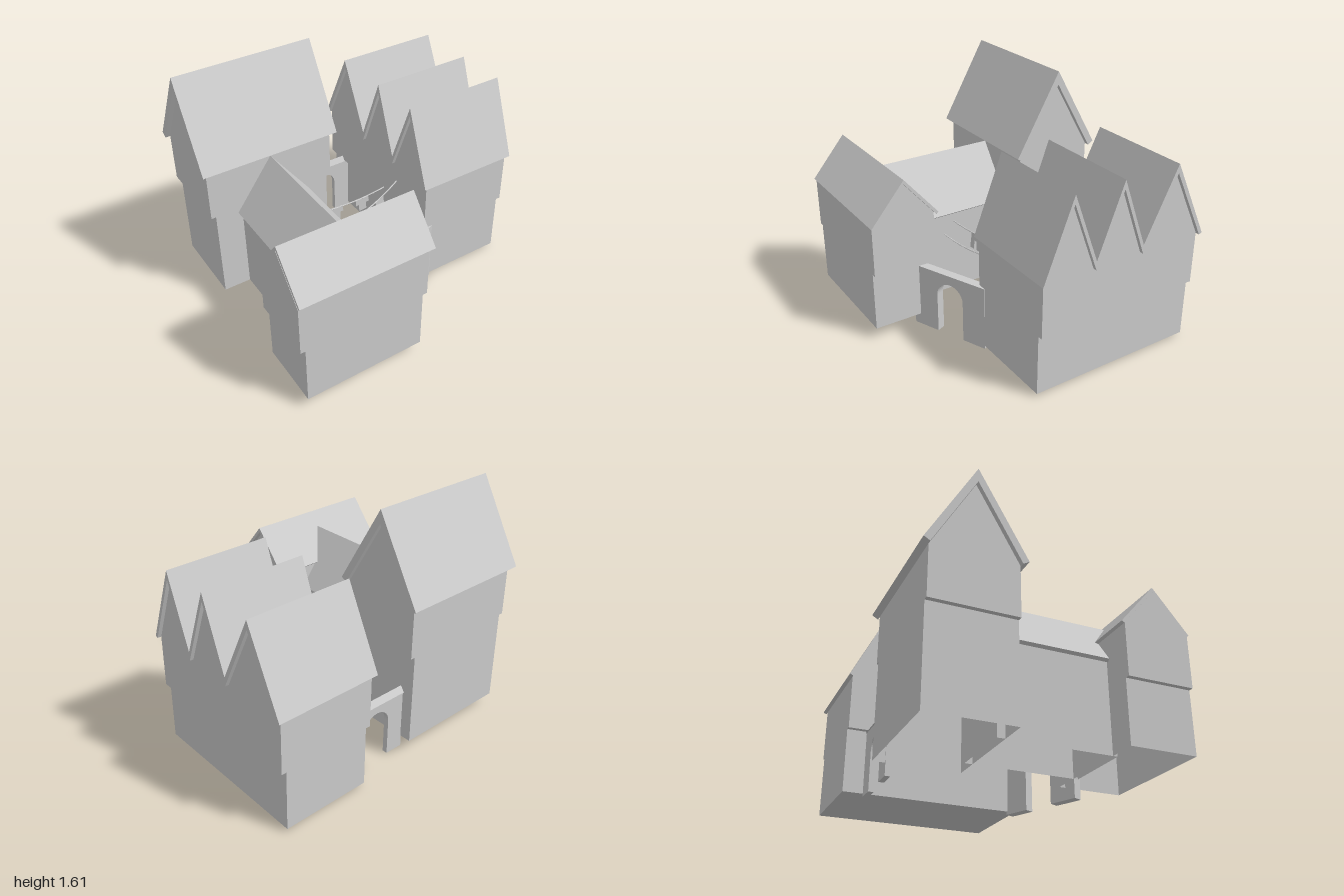
import * as THREE from 'three';

const grey = new THREE.MeshStandardMaterial({ color: 0xcccccc, flatShading: true, side: THREE.DoubleSide });

function add(parent, name, geometry) {
  const mesh = new THREE.Mesh(geometry, grey);
  mesh.name = name;
  parent.add(mesh);
  return mesh;
}

const toShape = (pts) => new THREE.Shape(pts.map(([a, b]) => new THREE.Vector2(a, b)));
const extrude = (shape, depth) => new THREE.ExtrudeGeometry(shape, { depth, bevelEnabled: false, curveSegments: 12 });

// Section given as [z, y], extruded from x0 to x1
function prismX(pts, x0, x1) {
  return extrude(toShape(pts.map(([z, y]) => [-z, y])), x1 - x0).rotateY(Math.PI / 2).translate(x0, 0, 0);
}

// Section given as [x, y], extruded from z0 to z1
function prismZ(pts, z0, z1) {
  return extrude(toShape(pts), z1 - z0).translate(0, 0, z0);
}

// Four walls with no floor
function openWalls(x0, x1, y0, y1, z0, z1) {
  return new THREE.CylinderGeometry(Math.SQRT1_2, Math.SQRT1_2, 1, 4, 1, true)
    .rotateY(Math.PI / 4)
    .scale(x1 - x0, y1 - y0, z1 - z0)
    .translate((x0 + x1) / 2, (y0 + y1) / 2, (z0 + z1) / 2);
}

// Bent slab over a ridge at (c, peak), with eaves cut square to the slope
function gableSection(c, half, eave, peak, t) {
  const angle = Math.atan2(peak - eave, half);
  const dx = t * Math.sin(angle), dy = t * Math.cos(angle);
  return [
    [c - half, eave], [c, peak], [c + half, eave],
    [c + half - dx, eave - dy], [c, peak - t / Math.cos(angle)], [c - half + dx, eave - dy],
  ];
}

// House with its ridge along x and an upper floor that juts out at both ends
function gableHouse(name, o) {
  const g = new THREE.Group();
  g.name = name;
  const [z0, z1] = o.z, c = o.ridge;
  add(g, 'lowerWalls', openWalls(-0.935, -0.115, 0.08, o.jetty, z0, z1));
  const slope = (o.peak - o.eave) / o.half;
  const inner = o.peak - o.t * Math.hypot(1, slope);
  const wallTop = (z) => inner - Math.abs(z - c) * slope;
  add(g, 'upperFloor', prismX(
    [[z0, o.jetty], [z1, o.jetty], [z1, wallTop(z1)], [c, inner], [z0, wallTop(z0)]], -0.967, -0.083));
  add(g, 'roof', prismX(gableSection(c, o.half, o.eave, o.peak, o.t), o.roofX, -0.05));
  return g;
}

// Wall of given length and height with a round-headed opening through it
function archGeometry(length, height, thick, w, top, offset) {
  const h = length / 2, r = w / 2;
  const s = new THREE.Shape();
  s.moveTo(-h, 0);
  s.lineTo(offset - r, 0);
  s.lineTo(offset - r, top - r);
  s.absarc(offset, top - r, r, Math.PI, 0, true);
  s.lineTo(offset + r, 0);
  s.lineTo(h, 0);
  s.lineTo(h, height);
  s.lineTo(-h, height);
  return extrude(s, thick).translate(0, 0, -thick / 2);
}

const trousers = [[-0.04, 0], [0.04, 0], [0.045, -0.12], [0.012, -0.12], [0.01, -0.055],
  [-0.01, -0.055], [-0.012, -0.12], [-0.045, -0.12]];
const shirt = [[-0.05, 0], [0.05, 0], [0.055, -0.045], [0.03, -0.045], [0.03, -0.1],
  [-0.03, -0.1], [-0.03, -0.045], [-0.055, -0.045]];

// Sagging line with garments hung at the given fractions of its length
function washingLine(a, b, sag, garments) {
  const g = new THREE.Group();
  g.name = 'washingLine';
  const start = new THREE.Vector3(...a), end = new THREE.Vector3(...b);
  const mid = start.clone().lerp(end, 0.5);
  mid.y -= sag * 2;
  const curve = new THREE.QuadraticBezierCurve3(start, mid, end);
  add(g, 'rope', new THREE.TubeGeometry(curve, 12, 0.005, 5));
  garments.forEach(([t, pts, tilt]) => {
    const m = add(g, pts === shirt ? 'shirt' : 'trousers', extrude(toShape(pts), 0.008).translate(0, 0, -0.004));
    m.position.copy(curve.getPoint(t));
    m.rotation.set(0, Math.atan2(a[2] - b[2], b[0] - a[0]), tilt);
  });
  return g;
}

export function createModel() {
  const model = new THREE.Group();
  model.name = 'houseCluster';

  // Front and rear houses
  model.add(gableHouse('frontHouse', { z: [0.42, 0.857], ridge: 0.637, half: 0.235, eave: 0.842, peak: 1.12, jetty: 0.49, t: 0.02, roofX: -0.965 }));
  model.add(gableHouse('rearHouse', { z: [-0.8, -0.25], ridge: -0.525, half: 0.316, eave: 1.06, peak: 1.61, jetty: 0.71, t: 0.045, roofX: -1 }));

  // Lower link house joining them, ridge along z
  const link = new THREE.Group();
  link.name = 'linkHouse';
  add(link, 'walls', openWalls(-0.75, -0.295, 0.08, 0.69, -0.3, 0.45));
  add(link, 'gable', prismZ([[-0.75, 0.67], [-0.295, 0.67], [-0.522, 0.985]], -0.3, 0.45));
  add(link, 'roof', prismZ(gableSection(-0.522, 0.258, 0.68, 1.03, 0.025), -0.4, 0.58));
  model.add(link);

  // Long house with three gables
  const row = new THREE.Group();
  row.name = 'tripleGableHouse';
  const zigzag = [[0.14, 1.31], [-0.036, 0.845], [-0.212, 1.31], [-0.39, 0.845], [-0.62, 1.31]];
  const lowered = zigzag.map(([z, y]) => [z, y - 0.06]);
  add(row, 'lowerWalls', new THREE.BoxGeometry(0.605, 0.41, 1.17).translate(0.6375, 0.225, -0.265));
  add(row, 'upperFloor', prismX([[0.32, 0.43], [0.32, 0.785], ...lowered, [-0.85, 0.785], [-0.85, 0.43]], 0.302, 0.972));
  add(row, 'roof', prismX([[0.34, 0.79], ...zigzag, [-0.874, 0.79], [-0.852, 0.78],
    ...lowered.slice().reverse(), [0.32, 0.782]], 0.278, 0.998));
  model.add(row);

  // Slanting front archway
  const arch = add(model, 'frontArch', archGeometry(0.57, 0.45, 0.06, 0.205, 0.385, 0.01));
  arch.rotation.y = THREE.MathUtils.degToRad(23);
  arch.position.set(0.093, 0, 0.406);

  // Rear archway with a small ridged coping
  const rear = new THREE.Group();
  rear.name = 'rearArch';
  add(rear, 'archWall', archGeometry(0.46, 0.42, 0.035, 0.205, 0.36, 0)).position.set(0.11, 0, -0.704);
  add(rear, 'coping', prismX([[-0.73, 0.42], [-0.68, 0.42], [-0.702, 0.46]], -0.115, 0.335));
  model.add(rear);

  // Washing lines across the yard
  model.add(washingLine([-0.3, 0.6, 0.15], [0.31, 0.645, -0.015], 0.05, [[0.34, trousers, -0.1], [0.7, trousers, 0.12]]));
  model.add(washingLine([-0.3, 0.52, 0.23], [0.31, 0.56, 0.075], 0.05, []));
  model.add(washingLine([-0.3, 0.52, -0.155], [0.31, 0.5, -0.16], 0.03, [[0.33, shirt, 0.03], [0.68, shirt, 0.06]]));

  return model;
}
